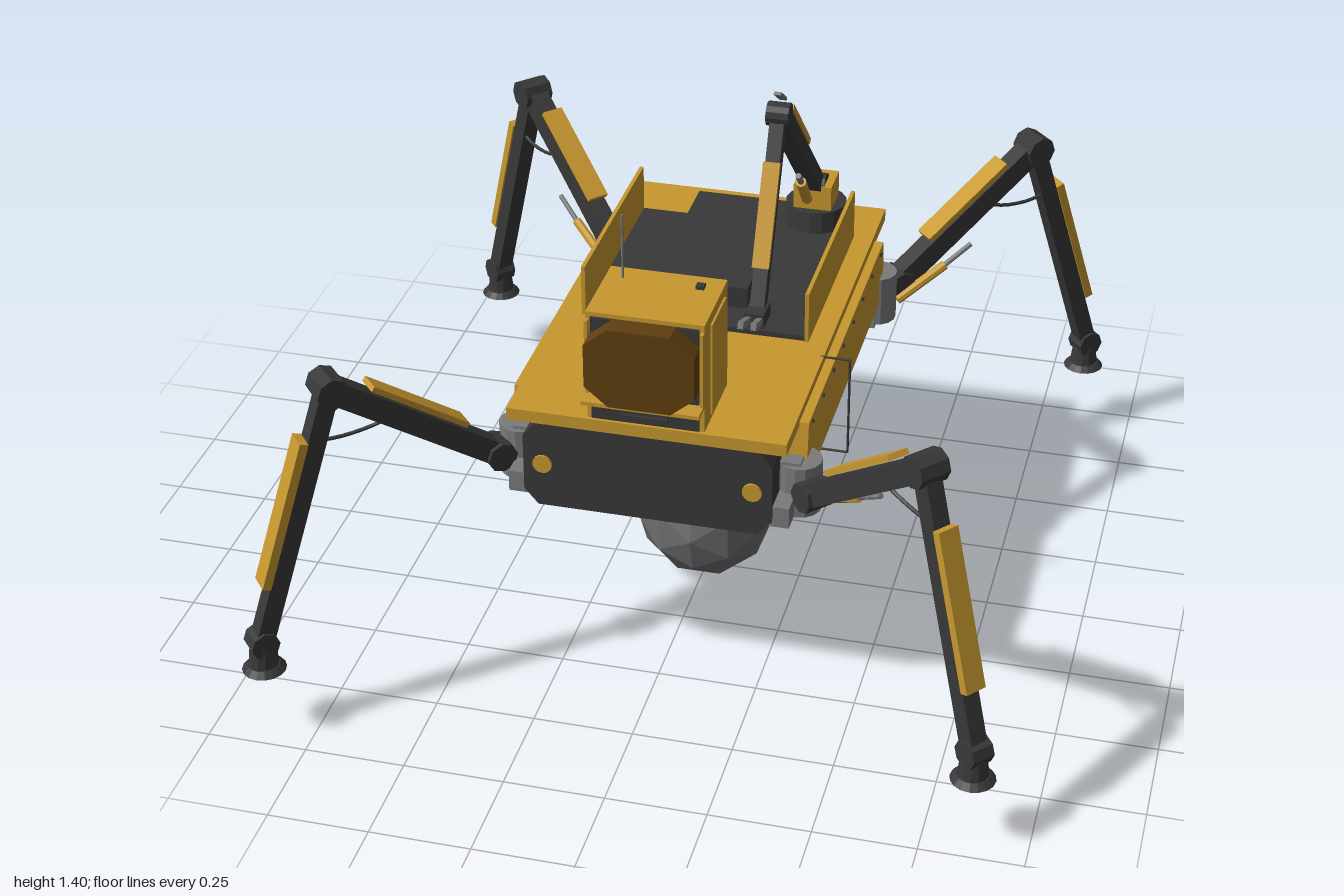
import * as THREE from 'three';

const mat = (name, color, extra = {}) => Object.assign(
  new THREE.MeshStandardMaterial({ color, flatShading: true, ...extra }), { name });
const yellow = mat('ochre paint', 0xc8982f);
const dark = mat('dark metal', 0x383838);
const grey = mat('grey metal', 0x7a7a7c);
const amber = mat('amber glass', 0x5e3f10);
const rock = mat('rock grey', 0x6e6e70);
const V = (x, y, z) => new THREE.Vector3(x, y, z);

export function createModel() {
  const model = new THREE.Group();
  model.name = 'walker';

  const add = (geo, material, name, pos, parent = model) => {
    const m = new THREE.Mesh(geo, material);
    m.name = name;
    if (pos) m.position.copy(pos);
    parent.add(m);
    return m;
  };
  // box given by its limits on each axis
  const box = (name, material, x0, x1, y0, y1, z0, z1, parent) => add(
    new THREE.BoxGeometry(x1 - x0, y1 - y0, z1 - z0), material, name,
    V((x0 + x1) / 2, (y0 + y1) / 2, (z0 + z1) / 2), parent);
  // box from a to b, pushed out by lift at right angles to its length
  const beam = (name, material, a, b, w, h, lift = 0, parent = model) => {
    const geo = new THREE.BoxGeometry(w, h, a.distanceTo(b)).translate(0, lift, 0);
    const m = add(geo, material, name, a.clone().lerp(b, 0.5), parent);
    m.lookAt(b);
    return m;
  };
  const rod = (name, material, a, b, r, parent = model) => {
    const m = add(new THREE.CylinderGeometry(r, r, a.distanceTo(b), 8), material, name, a.clone().lerp(b, 0.5), parent);
    m.quaternion.setFromUnitVectors(V(0, 1, 0), b.clone().sub(a).normalize());
    return m;
  };
  const plate = (points, depth) => new THREE.ExtrudeGeometry(
    new THREE.Shape(points.map(p => new THREE.Vector2(...p))), { depth, bevelEnabled: false });

  // hull with chamfered corners, and the deck over it
  add(plate([[-0.27, 0.53], [0.27, 0.53], [0.305, 0.57], [0.305, 0.72], [0.27, 0.765],
    [-0.27, 0.765], [-0.305, 0.72], [-0.305, 0.57]], 1.18), dark, 'hull', V(0, 0, -0.59));
  box('deck', yellow, -0.34, 0.34, 0.765, 0.797, -0.603, 0.6);
  for (const s of [-1, 1]) {
    const lamp = add(new THREE.CylinderGeometry(0.024, 0.024, 0.008, 16), yellow, 'headlamp', V(s * 0.257, 0.648, 0.592));
    lamp.rotation.x = Math.PI / 2;
    // side armour, sill and rivets
    const panel = add(plate([[-0.48, 0.61], [0.48, 0.61], [0.46, 0.775], [-0.46, 0.775]], 0.06),
      yellow, 'sidePanel', V(s > 0 ? 0.303 : -0.363, 0, 0));
    panel.rotation.y = Math.PI / 2;
    box('sill', grey, s * 0.32 - 0.025, s * 0.32 + 0.025, 0.555, 0.61, -0.585, 0.585);
    for (let i = 0; i < 8; i++)
      box('rivet', dark, s * 0.364 - 0.004, s * 0.364 + 0.004, 0.757, 0.765, -0.42 + i * 0.12, -0.412 + i * 0.12);
    // cargo bed wall
    box('bedWall', yellow, s * 0.284 - 0.005, s * 0.284 + 0.005, 0.797, 0.932, -0.43, 0.13);
  }

  // cargo bed and crates
  box('bedFloor', dark, -0.28, 0.28, 0.797, 0.81, -0.43, 0.125);
  box('armMount', dark, -0.16, 0.19, 0.797, 0.81, -0.56, -0.43);
  box('crate', dark, -0.11, -0.03, 0.81, 0.865, -0.025, 0.045);
  box('crate', dark, 0, 0.11, 0.81, 0.865, -0.055, 0.025);

  // cab
  const cab = new THREE.Group();
  cab.name = 'cab';
  model.add(cab);
  box('cabBody', yellow, -0.142, 0.142, 0.797, 1.083, 0.368, 0.59, cab);
  box('cabBack', dark, -0.135, 0.135, 0.805, 1.075, 0.362, 0.369, cab);
  box('cabFront', dark, -0.13, 0.13, 0.8, 1.072, 0.589, 0.597, cab);
  box('cabSill', yellow, -0.142, 0.142, 0.862, 0.872, 0.59, 0.645, cab);
  for (let i = 0; i < 3; i++)
    box('grilleBar', dark, -0.055, 0.055, 0.815 + i * 0.016, 0.823 + i * 0.016, 0.596, 0.604, cab);
  for (const s of [-1, 1]) {
    box('cabDoor', yellow, s * 0.143 - 0.004, s * 0.143 + 0.004, 0.812, 1.055, 0.4, 0.535, cab);
    box('windowFrame', yellow, s * 0.138 - 0.004, s * 0.138 + 0.004, 0.872, 1.065, 0.59, 0.605, cab);
  }
  const a = 0.132, c = 0.075;
  add(plate([[-c, -0.103], [c, -0.103], [a, -0.055], [a, 0.055], [c, 0.103], [-c, 0.103],
    [-a, 0.055], [-a, -0.055]], 0.055), amber, 'canopy', V(0, 0.972, 0.595), cab);
  box('roofHatch', dark, 0.08, 0.1, 1.083, 1.092, 0.41, 0.43, cab);
  rod('antenna', grey, V(-0.1, 1.08, 0.415), V(-0.1, 1.25, 0.415), 0.003, cab);

  // ladder frame on the left side
  const rail = [V(0.33, 0.795, 0.185), V(0.405, 0.795, 0.185), V(0.405, 0.53, 0.185), V(0.32, 0.53, 0.185)];
  for (let i = 0; i < 3; i++) rod('ladderRail', dark, rail[i], rail[i + 1], 0.003);

  // crane arm
  const arm = new THREE.Group();
  arm.name = 'arm';
  model.add(arm);
  const X = 0.177, shoulder = V(X, 0.92, -0.46), elbow = V(X, 1.34, -0.01), wrist = V(X, 0.92, 0.195);
  add(new THREE.CylinderGeometry(0.08, 0.085, 0.065, 16), dark, 'turntable', V(X, 0.835, -0.48), arm);
  box('shoulderBlock', yellow, X - 0.05, X + 0.05, 0.867, 0.935, -0.525, -0.425, arm);
  const pivot = (name, p, r, w) => {
    const m = add(new THREE.CylinderGeometry(r, r, w, 12), dark, name, p, arm);
    m.rotation.z = Math.PI / 2;
  };
  pivot('shoulderPivot', shoulder, 0.035, 0.06);
  pivot('elbowPivot', elbow, 0.03, 0.056);
  beam('boom', dark, shoulder, elbow, 0.045, 0.045, 0, arm);
  beam('boomPlate', yellow, shoulder.clone().lerp(elbow, 0.47), shoulder.clone().lerp(elbow, 0.93), 0.048, 0.016, 0.034, arm);
  beam('forearm', dark, elbow, wrist, 0.036, 0.036, 0, arm);
  beam('forearmPlate', yellow, elbow.clone().lerp(wrist, 0.25), elbow.clone().lerp(wrist, 0.8), 0.042, 0.012, 0.023, arm);
  rod('armPiston', yellow, V(X, 0.93, -0.36), V(X, 1.02, -0.28), 0.014, arm);
  rod('pistonRod', grey, V(X, 1.01, -0.29), V(X, 1.055, -0.245), 0.008, arm);
  beam('elbowGuard', grey, V(X, 1.405, 0.012), V(X, 1.36, -0.055), 0.018, 0.008, 0, arm);
  box('wristBlock', dark, X - 0.024, X + 0.024, 0.885, 0.922, 0.165, 0.24, arm);
  for (const s of [-1, 1])
    beam('claw', grey, V(X + s * 0.014, 0.905, 0.24), V(X + s * 0.016, 0.932, 0.315), 0.014, 0.018, 0, arm);

  // four legs, mirrored by sign
  for (const sx of [-1, 1]) for (const sz of [-1, 1]) {
    const leg = new THREE.Group();
    leg.name = (sz > 0 ? 'front' : 'back') + (sx > 0 ? 'Left' : 'Right') + 'Leg';
    model.add(leg);
    const P = (x, y, z) => V(sx * x, y, sz * z);
    const hip = P(0.39, 0.625, 0.53), knee = P(0.7, 0.925, 0.81), ankle = P(0.862, 0.27, 0.945);
    const upper = t => hip.clone().lerp(knee, t), lower = t => knee.clone().lerp(ankle, t);
    const side = P(-0.67, 0, 0.74);

    add(new THREE.CylinderGeometry(0.055, 0.055, 0.135, 14), grey, 'hipHousing', P(0.345, 0.615, 0.47), leg);
    box('hipBracket', grey, sx * 0.325 - 0.03, sx * 0.325 + 0.03, 0.54, 0.69, sz * 0.46 - 0.05, sz * 0.46 + 0.05, leg);
    rod('hipAxle', grey, P(0.34, 0.62, 0.48), hip, 0.03, leg);
    const joint = (name, p, r, w) => rod(name, dark,
      p.clone().addScaledVector(side, -w / 2), p.clone().addScaledVector(side, w / 2), r, leg);
    joint('hipJoint', hip, 0.038, 0.075);
    joint('kneeJoint', knee, 0.04, 0.08);
    joint('ankleJoint', ankle, 0.036, 0.06);

    beam('thigh', dark, hip, knee, 0.052, 0.058, 0, leg);
    beam('thighPlate', yellow, upper(0.26), upper(0.82), 0.058, 0.014, 0.043, leg);
    beam('shin', dark, knee, ankle, 0.046, 0.046, 0, leg);
    beam('shinPlate', yellow, lower(0.2), lower(0.77), 0.056, 0.022, 0.034, leg);
    rod('legPiston', yellow, P(0.4, 0.59, 0.49), P(0.51, 0.665, 0.575), 0.013, leg);
    rod('legPistonRod', grey, P(0.51, 0.665, 0.575), P(0.57, 0.71, 0.625), 0.007, leg);

    // hose behind the knee
    const hose = new THREE.CatmullRomCurve3([P(0.76, 0.79, 0.85), P(0.69, 0.775, 0.78), P(0.62, 0.785, 0.72), P(0.57, 0.81, 0.69)]);
    add(new THREE.TubeGeometry(hose, 10, 0.005, 5), dark, 'hose', null, leg);

    add(new THREE.CylinderGeometry(0.03, 0.038, 0.07, 12), dark, 'ankle', P(0.862, 0.235, 0.945), leg);
    add(new THREE.CylinderGeometry(0.04, 0.054, 0.015, 16), dark, 'foot', P(0.862, 0.199, 0.945), leg);
  }

  // faceted boulder beneath the hull
  add(new THREE.IcosahedronGeometry(0.183, 1), rock, 'boulder', V(0, 0.187, 0));
  return model;
}
